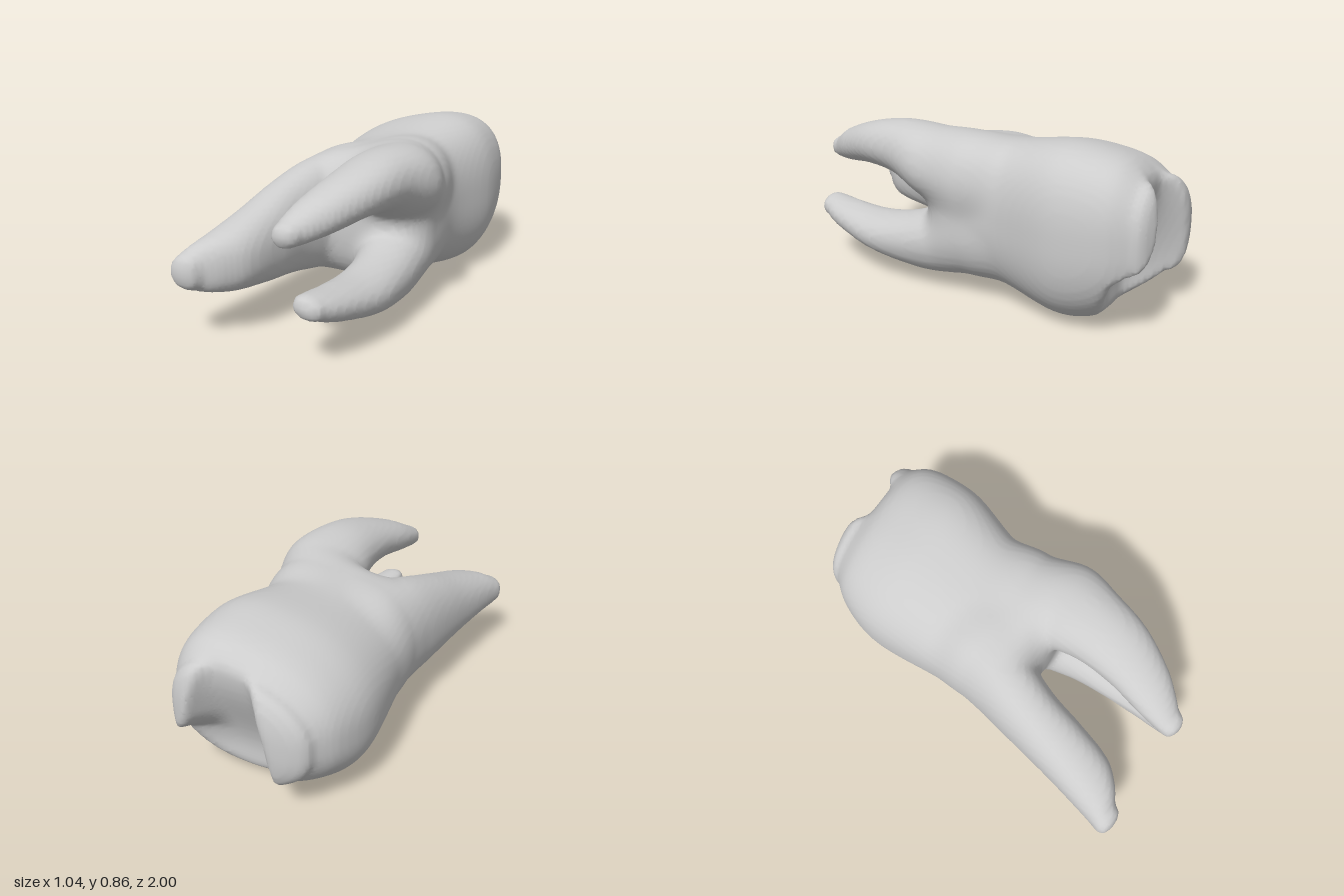
import * as THREE from 'three';

// Each limb is a stack of ellipses along z: [z, cx, cy, rx, ry].
// tilt turns the ellipses, wedge makes them taller toward +x, lean lifts that side.
const trunk = { cap: [0.107, 0.215], tilt: 0, wedge: 0.17, lean: 0.07, power: 2.5, rows: [
  [-0.9, 0.095, 0.44, 0.355, 0.285], [-0.8, 0.085, 0.44, 0.415, 0.35], [-0.65, 0.07, 0.423, 0.45, 0.4],
  [-0.5, 0.06, 0.42, 0.45, 0.411], [-0.2, 0.03, 0.43, 0.392, 0.362], [0.05, 0.035, 0.45, 0.375, 0.345]] };
const broadRoot = { cap: [0.25, 0.05], tilt: 0, wedge: 0.09, lean: 0, power: 2.25, rows: [
  [0, -0.15, 0.45, 0.205, 0.3], [0.2, -0.215, 0.44, 0.177, 0.28], [0.4, -0.268, 0.425, 0.155, 0.235],
  [0.6, -0.303, 0.4, 0.15, 0.19], [0.8, -0.35, 0.378, 0.14, 0.145], [0.9, -0.403, 0.367, 0.108, 0.115],
  [0.95, -0.447, 0.36, 0.078, 0.085]] };
const upperRoot = { cap: [0.25, 0.05], tilt: 0.22, wedge: 0, lean: 0, power: 2.15, rows: [
  [0, 0.22, 0.615, 0.21, 0.2], [0.2, 0.248, 0.662, 0.226, 0.188], [0.4, 0.232, 0.71, 0.185, 0.145],
  [0.6, 0.2, 0.703, 0.16, 0.115], [0.8, 0.135, 0.657, 0.125, 0.092], [0.9, 0.092, 0.625, 0.09, 0.072],
  [0.95, 0.068, 0.607, 0.068, 0.057]] };
const lowerRoot = { cap: [0.25, 0.05], tilt: -0.3, wedge: 0, lean: 0, power: 2.15, rows: [
  [0, 0.21, 0.29, 0.18, 0.18], [0.2, 0.222, 0.25, 0.172, 0.17], [0.4, 0.24, 0.23, 0.145, 0.13],
  [0.6, 0.235, 0.236, 0.13, 0.095], [0.8, 0.205, 0.265, 0.105, 0.075], [0.9, 0.183, 0.285, 0.09, 0.064],
  [0.95, 0.168, 0.298, 0.076, 0.055]] };

function limbField(limb, x, y, z) {
  const { rows, cap, tilt, wedge, lean, power } = limb, last = rows.length - 1;
  const zc = THREE.MathUtils.clamp(z, rows[0][0], rows[last][0]);
  let i = 0;
  while (i < last - 1 && zc > rows[i + 1][0]) i++;
  const p0 = rows[Math.max(i - 1, 0)], p1 = rows[i], p2 = rows[i + 1], p3 = rows[Math.min(i + 2, last)];
  const h = p2[0] - p1[0], t = (zc - p1[0]) / h;
  const at = (k) => {
    const m1 = (p2[k] - p0[k]) / (p2[0] - p0[0]) * h, m2 = (p3[k] - p1[k]) / (p3[0] - p1[0]) * h;
    const d = p2[k] - p1[k];
    return p1[k] + t * (m1 + t * (3 * d - 2 * m1 - m2 + t * (m1 + m2 - 2 * d)));
  };
  const dx = x - at(1), dy = y - at(2) - lean * dx, rx = at(3), ry = at(4);
  const c = Math.cos(tilt), s = Math.sin(tilt);
  const u = (c * dx + s * dy) / rx;
  const v = (c * dy - s * dx) / (ry * THREE.MathUtils.clamp(1 + wedge * u, 0.6, 1.4));
  const end = (z - zc) / (z < zc ? cap[0] : cap[1]);
  const q = [u, v, end].reduce((sum, e) => sum + Math.pow(Math.abs(e), power), 0);
  return (Math.pow(q, 1 / power) - 1) * Math.min(rx, ry);
}

// Rounded union of two fields
function blend(a, b, k) {
  const h = Math.max(k - Math.abs(a - b), 0) / k;
  return Math.min(a, b) - h * h * k * 0.25;
}

// Depth of the chewing groove: it deepens toward the underside, and the
// lower left corner beside it drops away
function grooveFloor(x, y) {
  const floor = -0.73 - 0.165 * THREE.MathUtils.smoothstep(y, 0.15, 0.7);
  const off = Math.max(Math.abs(x - 0.15) - 0.05, 0);
  const steep = x > 0.15 ? 1.3 + 6.2 * THREE.MathUtils.smoothstep(y, 0.27, 0.47) : 7;
  return floor - steep * off * off;
}

function toothField(x, y, z) {
  const crown = limbField(trunk, x, y, z);
  const carve = (grooveFloor(x, y) - z) * 0.6;
  let d = -blend(-crown, -carve, 0.04);
  for (const root of [broadRoot, upperRoot, lowerRoot]) d = blend(d, limbField(root, x, y, z), 0.06);
  return d;
}

// Skin the zero level of a field with one vertex per crossed grid cell
function skin(field, min, max, step) {
  const n = min.map((m, k) => Math.ceil((max[k] - m) / step) + 1);
  const stride = [1, n[0], n[0] * n[1]];
  const total = n[0] * n[1] * n[2];
  const values = new Float32Array(total), cell = new Int32Array(total).fill(-1);
  const positions = [], index = [];
  const each = (from, visit) => {
    for (let k = from; k < n[2] - 1; k++)
      for (let j = from; j < n[1] - 1; j++)
        for (let i = from; i < n[0] - 1; i++) visit([i, j, k], i + j * stride[1] + k * stride[2]);
  };
  for (let id = 0; id < total; id++) {
    const i = id % n[0], j = Math.floor(id / n[0]) % n[1], k = Math.floor(id / stride[2]);
    values[id] = field(min[0] + i * step, min[1] + j * step, min[2] + k * step);
  }
  each(0, (p, id) => {
    const sum = [0, 0, 0];
    let count = 0;
    for (let corner = 0; corner < 8; corner++) {
      const o = [corner & 1, (corner >> 1) & 1, corner >> 2];
      const a = id + o[0] + o[1] * stride[1] + o[2] * stride[2];
      for (let axis = 0; axis < 3; axis++) {
        if (o[axis]) continue;
        const f = values[a], g = values[a + stride[axis]];
        if ((f < 0) === (g < 0)) continue;
        for (let m = 0; m < 3; m++) sum[m] += o[m] + (m === axis ? f / (f - g) : 0);
        count++;
      }
    }
    if (!count) return;
    cell[id] = positions.length / 3;
    for (let m = 0; m < 3; m++) positions.push(min[m] + (p[m] + sum[m] / count) * step);
  });
  each(1, (p, id) => {
    for (let axis = 0; axis < 3; axis++) {
      const inside = values[id] < 0;
      if (inside === (values[id + stride[axis]] < 0)) continue;
      const b = stride[(axis + 1) % 3], c = stride[(axis + 2) % 3];
      const q = [cell[id - b - c], cell[id - c], cell[id], cell[id - b]];
      if (!inside) q.reverse();
      index.push(q[0], q[1], q[2], q[0], q[2], q[3]);
    }
  });
  const geometry = new THREE.BufferGeometry();
  geometry.setAttribute('position', new THREE.Float32BufferAttribute(positions, 3));
  geometry.setIndex(index);
  geometry.computeVertexNormals();
  return geometry;
}

export function createModel() {
  const enamel = new THREE.MeshStandardMaterial({ color: 0xcccccc });
  enamel.name = 'pale grey enamel';

  // Crown and three roots in one continuous skin
  const tooth = new THREE.Mesh(skin(toothField, [-0.65, -0.1, -1.1], [0.65, 0.98, 1.1], 0.02), enamel);
  tooth.name = 'crownAndRoots';
  const group = new THREE.Group();
  group.name = 'molar';
  group.add(tooth);
  return group;
}
